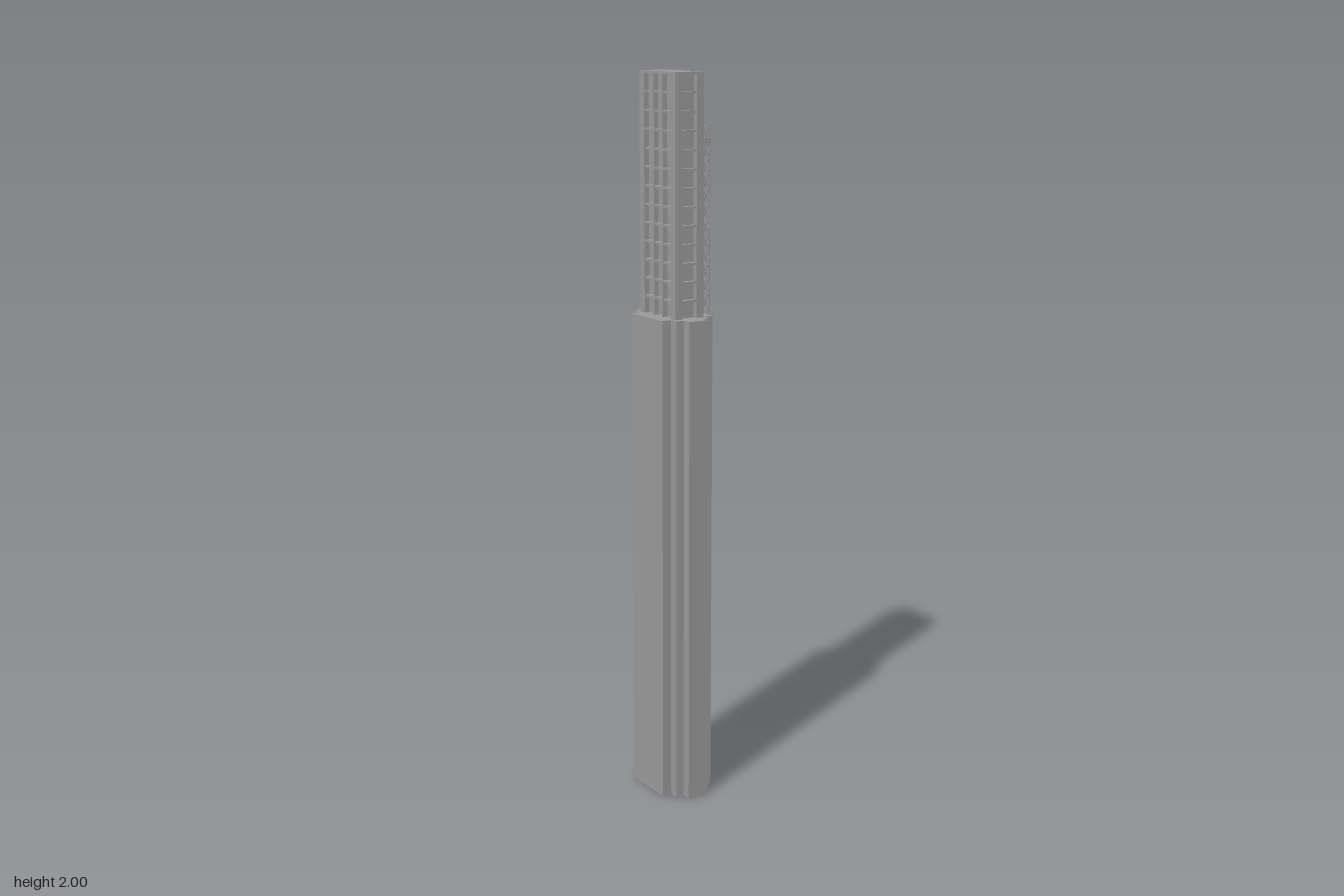
import * as THREE from 'three';
import { mergeGeometries } from 'three/addons/utils/BufferGeometryUtils.js';

const concrete = new THREE.MeshStandardMaterial({ color: 0x999999 });
concrete.name = 'concrete grey';

const SHAFT_TOP = 1.355, TOP = 2, FLOOR = (TOP - SHAFT_TOP) / 13;

// Box given by its minimum and maximum corners
function span(x0, x1, y0, y1, z0, z1) {
  return new THREE.BoxGeometry(x1 - x0, y1 - y0, z1 - z0)
    .translate((x0 + x1) / 2, (y0 + y1) / 2, (z0 + z1) / 2);
}

// Square bar between two points
function bar(a, b, t) {
  const p = new THREE.Vector3(...a), q = new THREE.Vector3(...b);
  const dir = q.clone().sub(p);
  const g = new THREE.BoxGeometry(t, dir.length(), t);
  g.applyQuaternion(new THREE.Quaternion().setFromUnitVectors(new THREE.Vector3(0, 1, 0), dir.normalize()));
  const m = p.add(q).multiplyScalar(0.5);
  return g.translate(m.x, m.y, m.z);
}

function part(name, geometries) {
  const list = Array.isArray(geometries) ? geometries : [geometries];
  const mesh = new THREE.Mesh(list.length > 1 ? mergeGeometries(list) : list[0], concrete);
  mesh.name = name;
  return mesh;
}

// Cross-shaped plan with two setbacks at each corner, shrunk by an inset
function plan(inset) {
  const cx = -0.0195;
  const q = [[0.0805, 0.077], [0.0535, 0.077], [0.0535, 0.104], [0.0295, 0.104], [0.0295, 0.13]]
    .map(([x, z]) => [x - inset, z - inset]);
  const r = [...q].reverse();
  const loop = [
    ...q, ...r.map(([x, z]) => [-x, z]),
    ...q.map(([x, z]) => [-x, -z]), ...r.map(([x, z]) => [x, -z]),
  ];
  return loop.map(([x, z]) => new THREE.Vector2(cx + x, z));
}

// Horizontal slab or wall ring extruded upward from y0 to y1
function prism(inset, y0, y1, wall = 0) {
  const shape = new THREE.Shape(plan(inset));
  if (wall) shape.holes.push(new THREE.Path(plan(inset + wall)));
  return new THREE.ExtrudeGeometry(shape, { depth: y1 - y0, bevelEnabled: false })
    .rotateX(-Math.PI / 2).translate(0, y0, 0);
}

// Lattice mast with four legs and crossed bracing on each side
function lattice(x0, x1, z0, z1, y0, y1, cells, sections) {
  const t = 0.0028, d = 0.0013, h = t / 2;
  const c = [[x0 + h, z0 + h], [x1 - h, z0 + h], [x1 - h, z1 - h], [x0 + h, z1 - h]];
  const out = c.map(([x, z]) => span(x - h, x + h, y0, y1, z - h, z + h));
  const step = (y1 - y0) / cells;
  for (let s = 0; s < 4; s++) {
    const a = c[s], b = c[(s + 1) % 4];
    for (let i = 0; i < cells; i++) {
      const lo = y0 + i * step, hi = lo + step;
      out.push(bar([a[0], lo, a[1]], [b[0], hi, b[1]], d));
      out.push(bar([b[0], lo, b[1]], [a[0], hi, a[1]], d));
    }
    // Collars where the mast sections meet
    for (let i = 0; i <= sections; i++) {
      const y = y0 + h + (y1 - y0 - t) * i / sections;
      out.push(bar([a[0], y, a[1]], [b[0], y, b[1]], t * 0.9));
    }
  }
  return out;
}

export function createModel() {
  const model = new THREE.Group();
  model.name = 'tower under construction';

  // Hollow stepped shaft, open below, with floors inside
  const shaft = new THREE.Group();
  shaft.name = 'lowerShaft';
  shaft.add(part('shaftWalls', prism(0, 0, SHAFT_TOP - 0.006, 0.012)));
  shaft.add(part('shaftRoof', prism(0, SHAFT_TOP - 0.006, SHAFT_TOP)));
  const floors = [];
  for (let y = SHAFT_TOP - FLOOR; y > 0.04; y -= FLOOR) floors.push(prism(0.011, y - 0.005, y));
  shaft.add(part('shaftFloors', floors));
  model.add(shaft);

  // Upper frame: core, corner columns, mullions and slab edges
  const X0 = -0.064, X1 = 0.025, Z0 = -0.088, Z1 = 0.086;
  const cw = 0.022, roofY = TOP - 0.006;
  const upper = new THREE.Group();
  upper.name = 'upperFrame';
  upper.add(part('core', span(X0 + 0.015, X1 - 0.015, SHAFT_TOP, roofY, Z0 + 0.015, Z1 - 0.015)));

  const columns = [];
  for (const [a, b] of [[X0, X0 + cw], [X1 - cw, X1]])
    for (const [c, d] of [[Z0, Z0 + cw], [Z1 - cw, Z1]])
      columns.push(span(a, b, SHAFT_TOP, roofY, c, d));
  upper.add(part('cornerColumns', columns));

  const mullions = [];
  for (const f of [1 / 3, 2 / 3]) {
    const z = Z0 + cw + (Z1 - Z0 - 2 * cw) * f;
    mullions.push(span(X0 + 0.001, X0 + 0.016, SHAFT_TOP, roofY, z - 0.003, z + 0.003));
    mullions.push(span(X1 - 0.016, X1 - 0.001, SHAFT_TOP, roofY, z - 0.003, z + 0.003));
  }
  upper.add(part('mullions', mullions));

  const slabs = [];
  for (let i = 1; i < 13; i++) {
    const y = SHAFT_TOP + i * FLOOR;
    slabs.push(span(X0 + 0.002, X1 - 0.002, y - 0.006, y, Z0 + 0.002, Z1 - 0.002));
  }
  upper.add(part('floorSlabs', slabs));
  upper.add(part('roofSlab', span(X0, X1, roofY, TOP, Z0, Z1)));
  model.add(upper);

  // Construction hoist beside the tower
  const hoist = new THREE.Group();
  hoist.name = 'hoist';
  hoist.add(part('tallMast', lattice(0.067, 0.097, -0.019, 0.011, 0.06, 1.855, 44, 4)));
  hoist.add(part('shortMast', lattice(0.036, 0.066, -0.019, 0.011, SHAFT_TOP, 1.805, 11, 1)));
  hoist.add(part('hoistPlatform', span(0.028, 0.098, 1.802, 1.824, -0.021, 0.012)));
  model.add(hoist);

  return model;
}
